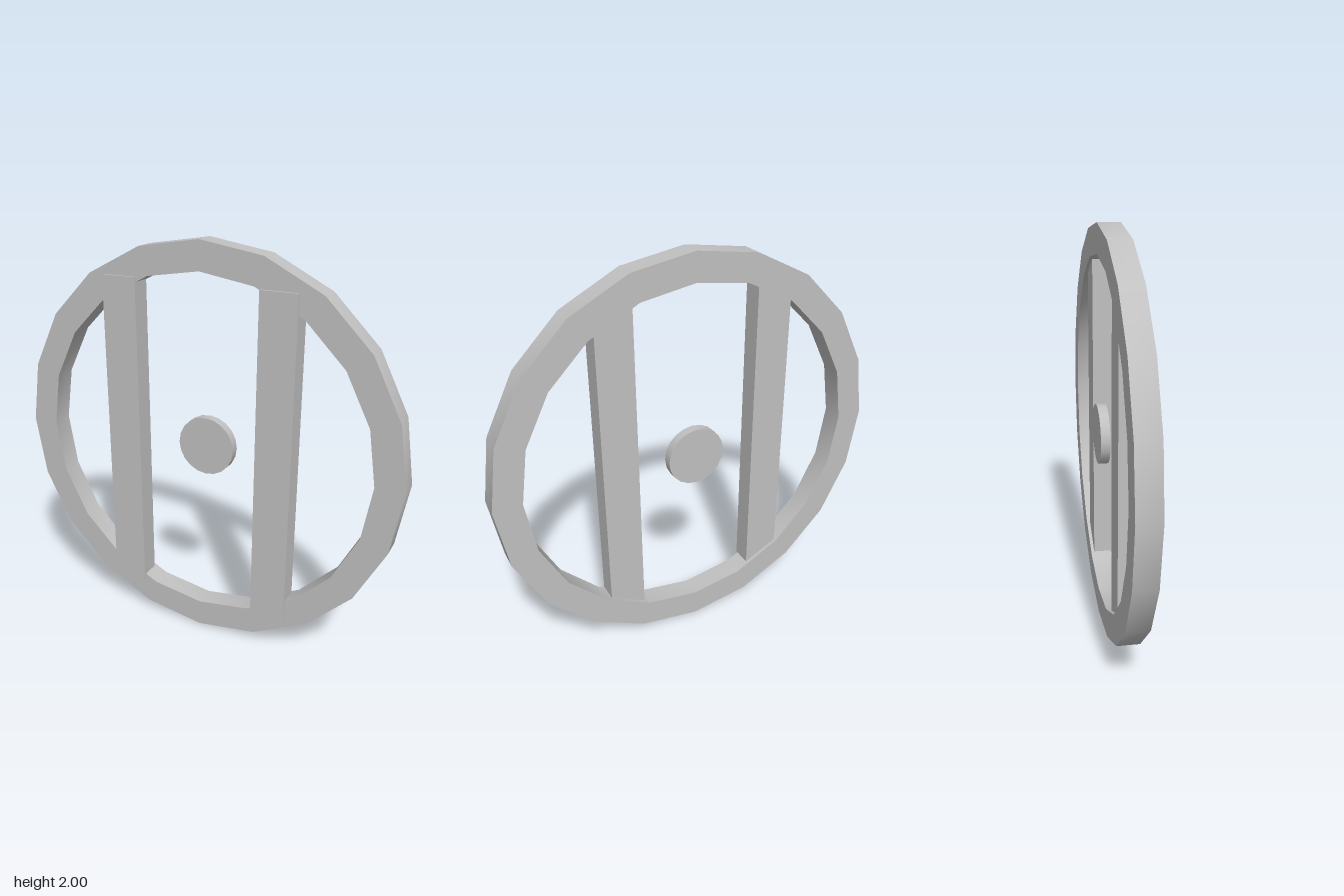
import * as THREE from 'three';
import { toCreasedNormals } from 'three/addons/utils/BufferGeometryUtils.js';

const SIDES = 20;

// Corners of a regular polygon, starting on the x axis
function polygon(radius) {
  return Array.from({ length: SIDES }, (_, i) => {
    const a = (i / SIDES) * Math.PI * 2;
    return new THREE.Vector2(Math.cos(a) * radius, Math.sin(a) * radius);
  });
}

export function createModel() {
  const model = new THREE.Group();
  model.name = 'barredRing';
  const grey = new THREE.MeshStandardMaterial({ color: 0xc0c0c0 });
  grey.name = 'lightGrey';

  const add = (name, geometry, x, y, z) => {
    const mesh = new THREE.Mesh(geometry, grey);
    mesh.name = name;
    mesh.position.set(x, y, z);
    model.add(mesh);
  };

  // Twenty-sided rim, smooth around its edge
  const rimShape = new THREE.Shape(polygon(1));
  rimShape.holes.push(new THREE.Path(polygon(0.862)));
  const rim = new THREE.ExtrudeGeometry(rimShape, { depth: 0.109, bevelEnabled: false });
  add('rim', toCreasedNormals(rim, Math.PI / 6), 0, 1, -0.057);

  // Two upright bars, standing slightly proud of the rim's front
  for (const [name, x] of [['rightBar', -0.42], ['leftBar', 0.385]]) {
    add(name, new THREE.BoxGeometry(0.18, 1.63, 0.102), x, 0.995, 0.011);
  }

  // Free central disc, slightly proud of the rim's back
  const disc = new THREE.CylinderGeometry(0.147, 0.147, 0.046, SIDES);
  disc.rotateX(Math.PI / 2);
  add('centreDisc', disc, 0, 1.003, -0.039);

  return model;
}
